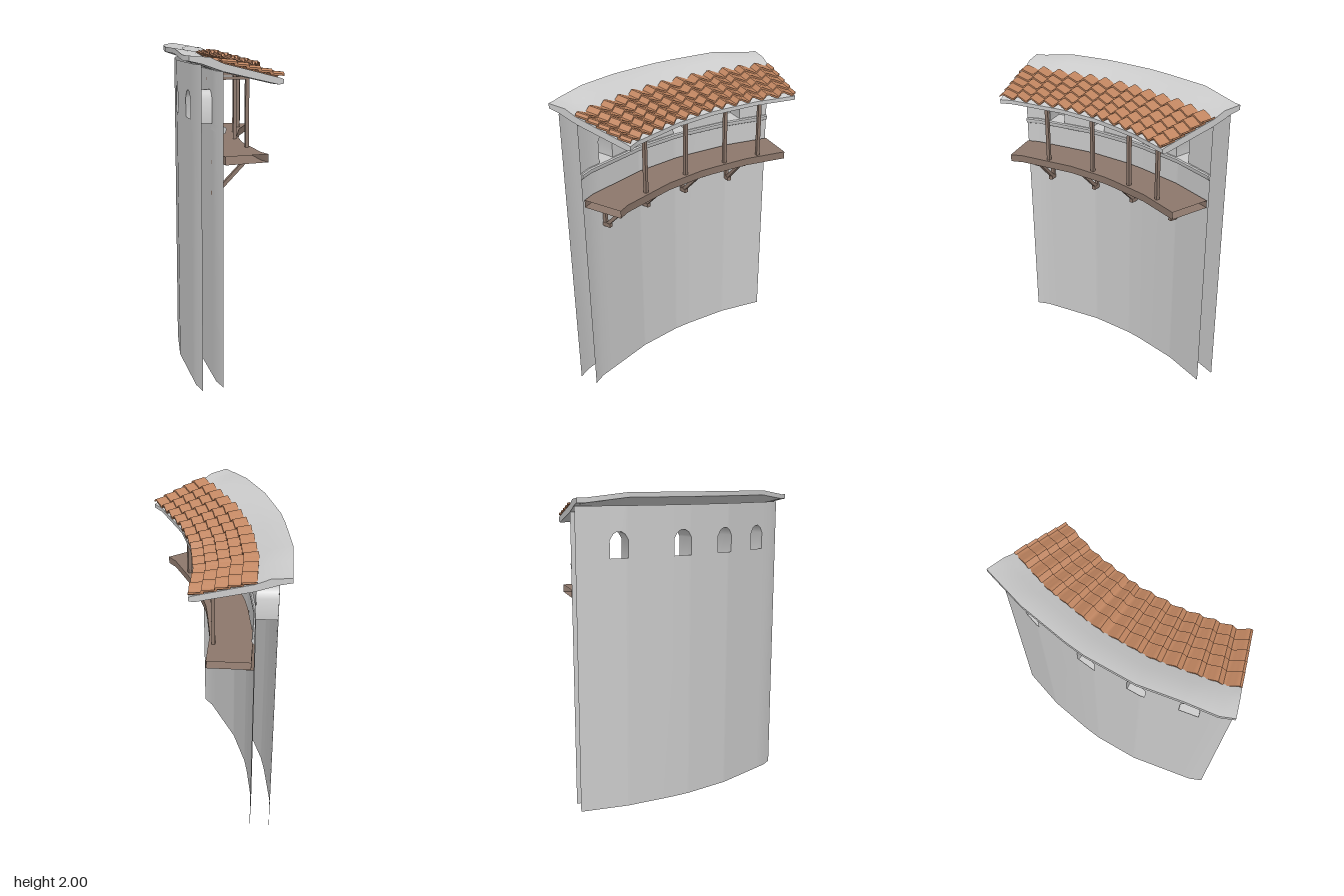
import * as THREE from 'three';
import { toCreasedNormals } from 'three/addons/utils/BufferGeometryUtils.js';

// Plan of the inner wall face: x, z, direction of its normal in degrees
const PLAN = [
  [-0.285, 0.77, 0], [-0.295, 0.68, 1], [-0.244, 0.25, 12], [-0.16, -0.04, 18],
  [-0.115, -0.145, 23], [0.02, -0.417, 31], [0.194, -0.666, 35],
];
const KNOTS = [0];
for (let i = 1; i < PLAN.length; i++) {
  KNOTS.push(KNOTS[i - 1] + Math.hypot(PLAN[i][0] - PLAN[i - 1][0], PLAN[i][1] - PLAN[i - 1][1]));
}
const LENGTH = KNOTS[KNOTS.length - 1];

const stone = new THREE.MeshStandardMaterial({ color: 0xcccccc, side: THREE.DoubleSide });
const wood = new THREE.MeshStandardMaterial({ color: 0x8c776b, side: THREE.DoubleSide });
const clay = new THREE.MeshStandardMaterial({ color: 0xc08560, side: THREE.DoubleSide });

// Point at length s along the plan, d out from the inner face, height y
function at(s, d, y) {
  let i = 0;
  while (i < PLAN.length - 2 && s > KNOTS[i + 1]) i++;
  const t = (s - KNOTS[i]) / (KNOTS[i + 1] - KNOTS[i]);
  const corner = ([x, z, deg]) => {
    const a = THREE.MathUtils.degToRad(deg);
    return new THREE.Vector3(x + d * Math.cos(a), y, z + d * Math.sin(a));
  };
  return corner(PLAN[i]).lerp(corner(PLAN[i + 1]), t);
}

// Sorted stations along the plan, always including its bends
function stations(extra = []) {
  return [...KNOTS, ...extra].sort((a, b) => a - b).filter((s, i, l) => i === 0 || s - l[i - 1] > 1e-5);
}

// Mesh from a list of quads, each of four [s, d, y] corners
function quadMesh(name, quads, material) {
  const points = [];
  for (const q of quads) {
    const [a, b, c, d] = q.map((p) => at(...p));
    points.push(a, b, c, a, c, d);
  }
  const geo = new THREE.BufferGeometry().setFromPoints(points);
  geo.computeVertexNormals();
  const mesh = new THREE.Mesh(toCreasedNormals(geo, 0.6), material);
  mesh.name = name;
  return mesh;
}

// Sweep a closed [d, y] section (counter-clockwise, may vary with s) along the plan
function sweep(name, section, ss, material, capped = true) {
  const quads = [];
  for (let k = 0; k < ss.length - 1; k++) {
    const [s0, s1] = [ss[k], ss[k + 1]], p = section(s0), q = section(s1);
    p.forEach((_, i) => {
      const j = (i + 1) % p.length;
      quads.push([[s0, ...p[i]], [s1, ...q[i]], [s1, ...q[j]], [s0, ...p[j]]]);
    });
  }
  if (capped) {
    for (const s of [ss[0], ss[ss.length - 1]]) {
      const p = section(s), n = p.length;
      for (let i = 0; i < n / 2 - 1; i++) {
        const quad = [p[i], p[i + 1], p[n - 2 - i], p[n - 1 - i]].map((v) => [s, ...v]);
        quads.push(s === ss[0] ? quad : quad.reverse());
      }
    }
  }
  return quadMesh(name, quads, material);
}

// Windows: centres along the wall and arch outline
const WINDOWS = [0.236, 0.55, 0.875, 1.285];
const SILL = 1.575, THICK = 0.13;
const ARCH = [[-0.057, 1.715], [-0.037, 1.75], [-0.015, 1.765], [0.015, 1.765], [0.037, 1.75], [0.057, 1.715]];
function archTop(s, c) {
  const u = s - c;
  for (let i = 0; i < ARCH.length - 1; i++) {
    const [a, ya] = ARCH[i], [b, yb] = ARCH[i + 1];
    if (u >= a - 1e-5 && u <= b + 1e-5) return ya + (yb - ya) * (u - a) / (b - a);
  }
  return null;
}

function buildWall() {
  const group = new THREE.Group();
  group.name = 'wall';
  const inner = [], outer = [], reveals = [];
  const ss = stations(WINDOWS.flatMap((c) => ARCH.map(([u]) => c + u)));
  const panel = (s0, s1, y0, y1, t0, t1) => {
    inner.push([[s0, 0, y0], [s1, 0, y1], [s1, 0, t1], [s0, 0, t0]]);
    outer.push([[s1, -THICK, y1], [s0, -THICK, y0], [s0, -THICK, t0 + 0.03], [s1, -THICK, t1 + 0.03]]);
  };
  for (let i = 0; i < ss.length - 1; i++) {
    const [s0, s1] = [ss[i], ss[i + 1]];
    const c = WINDOWS.find((w) => Math.abs((s0 + s1) / 2 - w) < 0.057);
    if (c === undefined) { panel(s0, s1, 0, 0, 1.89, 1.89); continue; }
    const a0 = archTop(s0, c), a1 = archTop(s1, c);
    panel(s0, s1, 0, 0, SILL, SILL);
    // Above the arch
    panel(s0, s1, a0, a1, 1.89, 1.89);
    // Sill and arch soffit
    reveals.push([[s0, 0, SILL], [s1, 0, SILL], [s1, -THICK, SILL], [s0, -THICK, SILL]]);
    reveals.push([[s0, -THICK, a0], [s1, -THICK, a1], [s1, 0, a1], [s0, 0, a0]]);
  }
  for (const c of WINDOWS) {
    const [a, b] = [c - 0.057, c + 0.057], top = 1.715;
    reveals.push([[a, 0, SILL], [a, -THICK, SILL], [a, -THICK, top], [a, 0, top]]);
    reveals.push([[b, -THICK, SILL], [b, 0, SILL], [b, 0, top], [b, -THICK, top]]);
  }
  group.add(quadMesh('innerWall', inner, stone), quadMesh('outerWall', outer, stone),
    quadMesh('windowReveals', reveals, stone));
  // String course below the windows
  group.add(sweep('moulding', () => [[0, 1.535], [0.01, 1.54], [0.016, 1.555], [0.016, 1.567], [0.01, SILL], [0, SILL]],
    stations(), stone));
  return group;
}

function buildRoof() {
  const group = new THREE.Group();
  group.name = 'roof';
  // Slab whose outer edge rises between the two ends
  const rise = (s) => 0.03 * THREE.MathUtils.clamp(Math.min((s - 0.07) / 0.2, (1.5 - s) / 0.25), 0, 1);
  const slab = (s) => {
    const r = rise(s);
    return [[-0.2, 1.94 + r], [-0.13, 1.925 + r * 0.7], [0, 1.88], [0.34, 1.8], [0.37, 1.805],
      [0.37, 1.83], [0.34, 1.84], [0, 1.925], [-0.08, 1.96 + r * 0.7], [-0.2, 1.97 + r]];
  };
  group.add(sweep('roofSlab', slab, stations([0.07, 0.17, 0.27, 1.25, 1.38, 1.5]), stone));
  // Overlapping rows of wavy tiles
  const ROWS = 5, WAVES = 13, STEP = 0.073;
  const ss = stations(Array.from({ length: WAVES * 8 + 1 }, (_, i) => LENGTH * i / (WAVES * 8)));
  for (let row = 0; row < ROWS; row++) {
    const d0 = row * STEP - 0.008, d1 = (row + 1) * STEP + 0.008;
    const tiles = (s) => {
      const a = s / LENGTH * WAVES * Math.PI * 2;
      const w = 0.013 * (Math.sin(a) + 0.25 * Math.sin(2 * a));
      const y0 = 1.932 - d0 * 0.25 + w, y1 = 1.947 - d1 * 0.25 + w;
      return [[d0, y0 - 0.006], [d1, y1 - 0.006], [d1, y1 + 0.005], [d0, y0 + 0.005]];
    };
    group.add(sweep('tileRow', tiles, ss, clay));
  }
  return group;
}

// Timber bar between two [x, y] points of a local frame
function bar(name, [x0, y0], [x1, y1], width) {
  const mesh = new THREE.Mesh(new THREE.BoxGeometry(Math.hypot(x1 - x0, y1 - y0), width, width), wood);
  mesh.position.set((x0 + x1) / 2, (y0 + y1) / 2, 0);
  mesh.rotation.z = Math.atan2(y1 - y0, x1 - x0);
  mesh.name = name;
  return mesh;
}

// Group standing on the inner face at s, with local x pointing away from the wall
function frame(name, s) {
  const group = new THREE.Group(), p = at(s, 0, 0), q = at(s, 1, 0);
  group.name = name;
  group.position.copy(p);
  group.rotation.y = -Math.atan2(q.z - p.z, q.x - p.x);
  return group;
}

function buildGallery() {
  const group = new THREE.Group();
  group.name = 'gallery';
  // Hollow deck, open at both ends
  group.add(sweep('deck', () => [[0.015, 1.357], [0.28, 1.357], [0.28, 1.405], [0.015, 1.405]], stations(), wood, false));
  // Posts with ties back to the wall
  for (const s of [0.31, 0.7, 1.06, 1.345]) {
    const post = frame('post', s);
    post.add(bar('upright', [0.25, 1.4], [0.25, 1.825], 0.022), bar('tie', [0, 1.822], [0.25, 1.822], 0.018));
    group.add(post);
  }
  // Brackets below the deck
  for (const s of [0.19, 0.55, 0.88, 1.245]) {
    const bracket = frame('bracket', s);
    bracket.add(
      bar('wallPost', [0.012, 1.155], [0.012, 1.357], 0.022),
      bar('arm', [0, 1.345], [0.24, 1.345], 0.024),
      bar('brace', [0.03, 1.165], [0.205, 1.338], 0.022),
      bar('foot', [0, 1.16], [0.055, 1.16], 0.026),
    );
    group.add(bracket);
  }
  return group;
}

export function createModel() {
  const model = new THREE.Group();
  model.name = 'curvedWallWithGallery';
  model.add(buildWall(), buildRoof(), buildGallery());
  return model;
}
